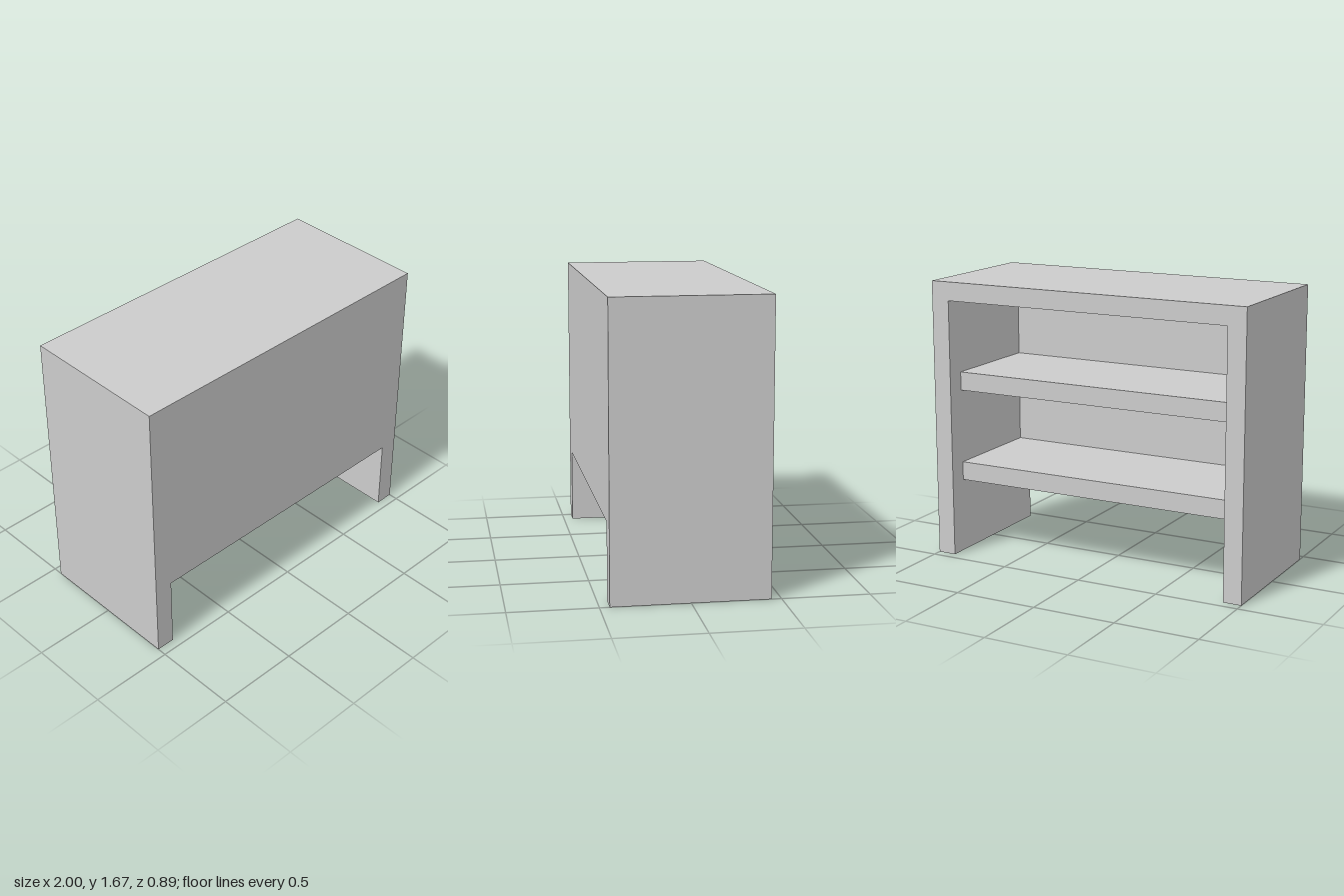
import * as THREE from 'three';

export function createModel() {
  const model = new THREE.Group();
  model.name = 'shelfUnit';
  const material = new THREE.MeshStandardMaterial({ color: 0xcccccc, flatShading: true });

  const t = 1 / 9; // board thickness; every size is a multiple of it
  const W = 18 * t, H = 15 * t, D = 8 * t;
  const inner = W - 2 * t;

  const add = (name, geometry, x = 0, y = 0, z = 0) => {
    const mesh = new THREE.Mesh(geometry, material);
    mesh.name = name;
    mesh.position.set(x, y, z);
    model.add(mesh);
  };

  // Side boards and top as one arch-shaped frame
  const frame = new THREE.Shape([
    [-W / 2, 0], [-inner / 2, 0], [-inner / 2, H - t], [inner / 2, H - t],
    [inner / 2, 0], [W / 2, 0], [W / 2, H], [-W / 2, H],
  ].map(([x, y]) => new THREE.Vector2(x, y)));
  add('sidesAndTop', new THREE.ExtrudeGeometry(frame, { depth: D, bevelEnabled: false }), 0, 0, -D / 2);

  // Front panel, flush with the frame and open below
  const bottom = 4 * t;
  const panelHeight = H - t - bottom;
  add('frontPanel', new THREE.BoxGeometry(inner, panelHeight, t), 0, bottom + panelHeight / 2, D / 2 - t / 2);

  // Shelves, set in from the open back
  const shelfDepth = D - 2 * t;
  [['lowerShelf', bottom], ['upperShelf', 9 * t]].forEach(([name, y]) =>
    add(name, new THREE.BoxGeometry(inner, t, shelfDepth), 0, y + t / 2, 0));

  return model;
}
